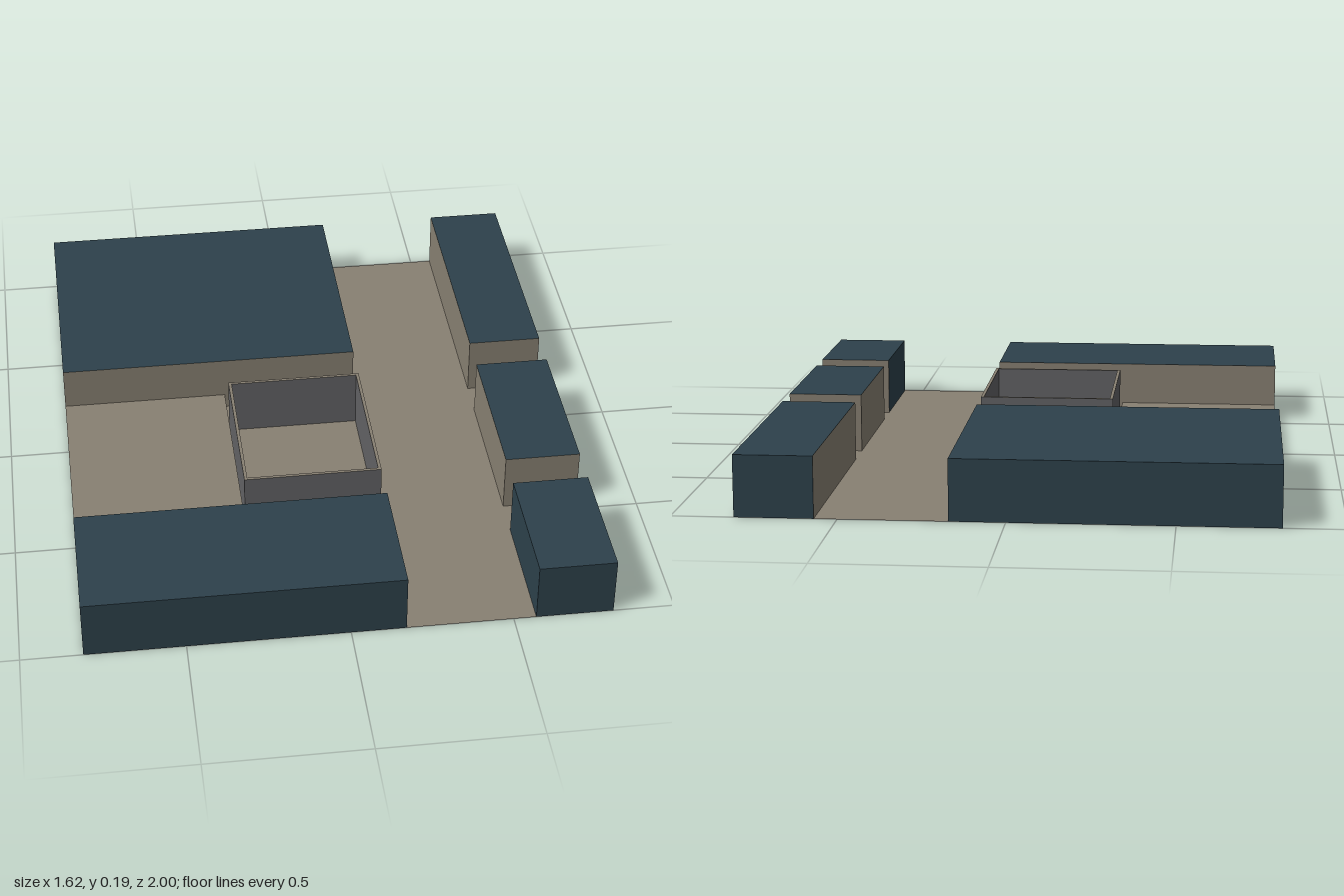
import * as THREE from 'three';

export function createModel() {
  const model = new THREE.Group();
  model.name = 'streetBlocks';
  const material = (name, color) => {
    const m = new THREE.MeshStandardMaterial({ color, side: THREE.DoubleSide });
    m.name = name;
    return m;
  };
  const slate = material('darkSlate', 0x2d414b);
  const taupe = material('taupe', 0x888072);
  const grey = material('grey', 0x626264);

  const H = 0.19, STEP = 0.05;

  const add = (parent, name, geo, mat) => {
    const mesh = new THREE.Mesh(geo, mat);
    mesh.name = name;
    parent.add(mesh);
  };
  // Horizontal sheet, facing up
  const sheet = (parent, name, x0, x1, z0, z1, y, mat) =>
    add(parent, name, new THREE.PlaneGeometry(x1 - x0, z1 - z0).rotateX(-Math.PI / 2)
      .translate((x0 + x1) / 2, y, (z0 + z1) / 2), mat);
  // Upright sheet across x, facing +z (dir 1) or -z (dir -1)
  const wallZ = (parent, name, x0, x1, z, dir, h, mat) =>
    add(parent, name, new THREE.PlaneGeometry(x1 - x0, h).rotateY(dir > 0 ? 0 : Math.PI)
      .translate((x0 + x1) / 2, h / 2, z), mat);
  // Upright sheet across z, facing +x (dir 1) or -x (dir -1)
  const wallX = (parent, name, z0, z1, x, dir, h, mat) =>
    add(parent, name, new THREE.PlaneGeometry(z1 - z0, h).rotateY(dir * Math.PI / 2)
      .translate(x, h / 2, (z0 + z1) / 2), mat);

  // Building shells, open below: x0, x1, z0, z1, then back, front, right, left wall colours
  const blocks = [
    ['backRightBlock', -0.81, 0.17, -1, -0.19, slate, taupe, slate, taupe],
    ['frontRightBlock', -0.81, 0.17, 0.58, 1, taupe, slate, slate, slate],
    ['backLeftBlock', 0.57, 0.81, -1, -0.19, slate, taupe, taupe, slate],
    ['middleLeftBlock', 0.57, 0.81, -0.065, 0.46, taupe, taupe, taupe, slate],
    ['frontLeftBlock', 0.57, 0.81, 0.58, 1, taupe, slate, slate, slate],
  ];
  for (const [name, x0, x1, z0, z1, back, front, right, left] of blocks) {
    const block = new THREE.Group();
    block.name = name;
    sheet(block, 'roof', x0, x1, z0, z1, H, slate);
    wallZ(block, 'backWall', x0, x1, z0, -1, H, back);
    wallZ(block, 'frontWall', x0, x1, z1, 1, H, front);
    wallX(block, 'rightWall', z0, z1, x0, -1, H, right);
    wallX(block, 'leftWall', z0, z1, x1, 1, H, left);
    model.add(block);
  }

  // Street floor
  sheet(model, 'avenueFloor', 0.17, 0.57, -1, 1, 0, taupe);
  sheet(model, 'courtFloor', -0.81, 0.17, -0.19, 0.58, 0, taupe);
  sheet(model, 'backAlleyFloor', 0.57, 0.81, -0.19, -0.065, 0, taupe);
  sheet(model, 'frontAlleyFloor', 0.57, 0.81, 0.46, 0.58, 0, taupe);

  // Raised platform with a step towards the avenue
  sheet(model, 'platformTop', -0.81, -0.27, -0.19, 0.58, STEP, taupe);
  wallX(model, 'platformStep', -0.19, 0.58, -0.27, 1, STEP, taupe);
  wallX(model, 'platformOuterEdge', -0.19, 0.58, -0.81, -1, STEP, slate);

  // Thin walled enclosure in the court
  const rect = (T, x0, x1, z0, z1) => new T([[x0, -z0], [x1, -z0], [x1, -z1], [x0, -z1]]
    .map(([x, y]) => new THREE.Vector2(x, y)));
  const t = 0.01;
  const frame = rect(THREE.Shape, -0.267, 0.17, -0.065, 0.46);
  frame.holes.push(rect(THREE.Path, -0.267 + t, 0.17 - t, -0.065 + t, 0.46 - t));
  add(model, 'enclosureWalls', new THREE.ExtrudeGeometry(frame, { depth: H, bevelEnabled: false })
    .rotateX(-Math.PI / 2), [taupe, grey]);

  return model;
}
